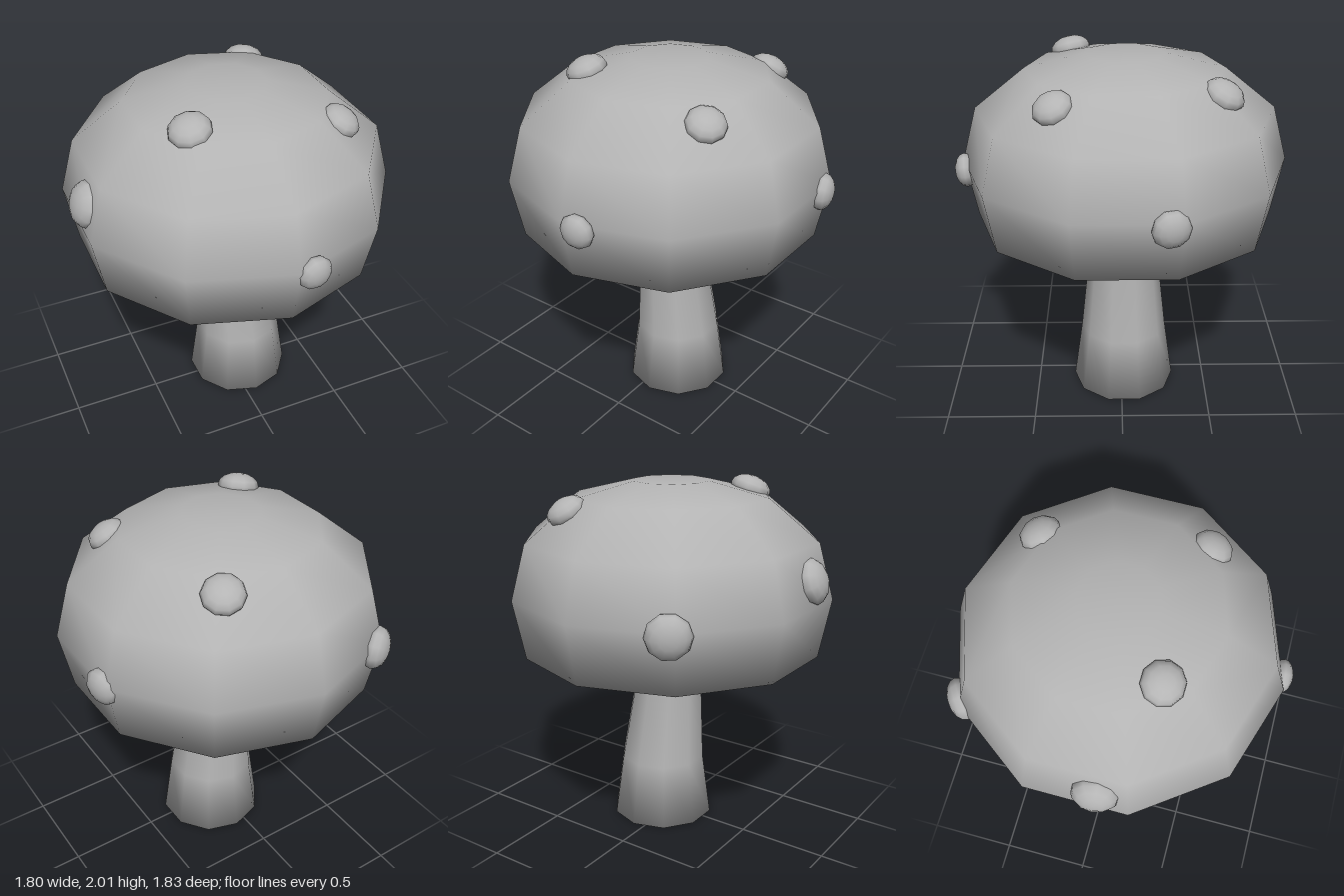
import * as THREE from 'three';

const SIDES = 10;

// Smooth ten-sided solid turned from [radius, height] pairs, bottom to top
function turned(profile) {
  return new THREE.LatheGeometry(profile.map(([r, y]) => new THREE.Vector2(r, y)), SIDES);
}

export function createModel() {
  const group = new THREE.Group();
  const grey = new THREE.MeshStandardMaterial({ color: 0xb4b4b4 });
  grey.name = 'plain grey';

  function add(name, geometry) {
    const mesh = new THREE.Mesh(geometry, grey);
    mesh.name = name;
    group.add(mesh);
    return mesh;
  }

  // Cap: flat underside, domed top
  const cap = add('cap', turned([
    [0, 1.06], [0.835, 1.06], [0.898, 1.39], [0.815, 1.69], [0.54, 1.91], [0.212, 1.99], [0, 1.99],
  ]));
  cap.position.set(-0.005, 0, -0.02);

  // Stem: tapering rings [radius, height, sideways shift], wide and offset at the foot
  const rings = [[0, 0, 0.065], [0.297, 0, 0.065], [0.247, 0.36, 0.063], [0.2, 0.8, 0.025], [0.184, 1.07, 0], [0, 1.07, 0]];
  const stem = turned(rings);
  const points = stem.attributes.position;
  for (let i = 0; i < points.count; i++) {
    points.setX(i, points.getX(i) + rings[i % rings.length][2]);
  }
  add('stem', stem).position.z = -0.0125;

  // Spots: flattened balls sunk into the cap, [x, y, z, radius]
  const spots = [
    [0.08, 1.36, 0.855, 0.094],
    [0.835, 1.36, -0.23, 0.102],
    [-0.82, 1.52, 0.08, 0.125],
    [-0.49, 1.375, -0.745, 0.12],
    [-0.325, 1.935, 0.28, 0.113],
    [0.47, 1.84, 0.34, 0.108],
    [0.315, 1.855, -0.515, 0.112],
  ];
  const ball = new THREE.SphereGeometry(1, SIDES, 8);
  const up = new THREE.Vector3(0, 1, 0);
  spots.forEach(([x, y, z, r], i) => {
    const spot = add(`spot${i + 1}`, ball);
    const outward = new THREE.Vector3(x / 0.81, (y - 1.39) / 0.36, (z + 0.02) / 0.81).normalize();
    spot.position.set(x, y, z);
    spot.quaternion.setFromUnitVectors(up, outward);
    spot.scale.set(r, r * 0.62, r);
  });

  return group;
}
